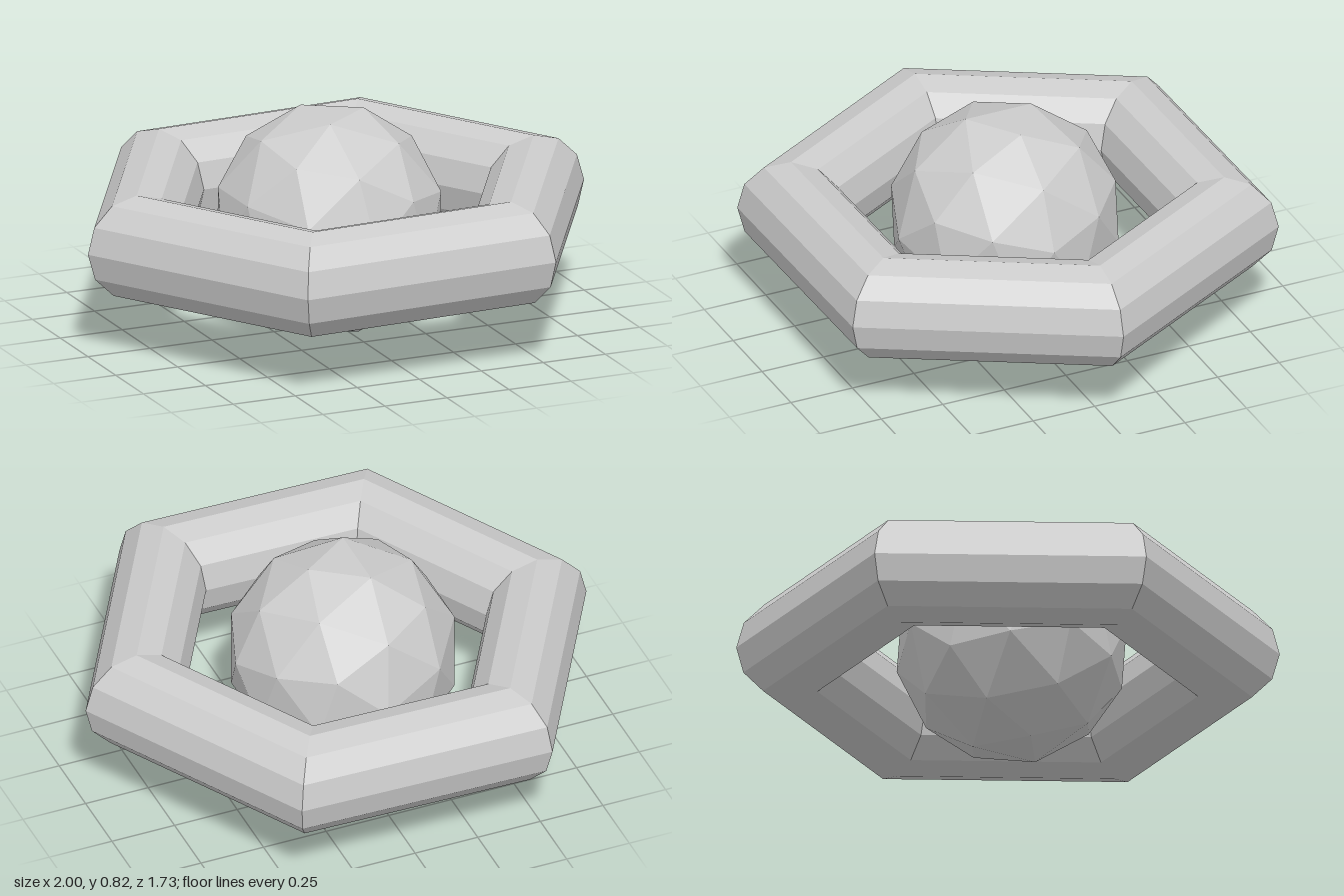
import * as THREE from 'three';

export function createModel() {
  const group = new THREE.Group();
  const material = new THREE.MeshStandardMaterial({ color: 0xcccccc, flatShading: true });
  const deg = THREE.MathUtils.degToRad;

  // Hexagonal ring with a twelve-sided section, lying flat with a slight sideways tilt
  const ringGeometry = new THREE.TorusGeometry(0.8, 0.2, 12, 6);
  ringGeometry.rotateX(-Math.PI / 2);
  const ring = new THREE.Mesh(ringGeometry, material);
  ring.name = 'ring';
  ring.position.y = 0.413;
  ring.rotation.z = deg(1);
  group.add(ring);

  // Faceted ball floating in the middle, a little off centre
  const ball = new THREE.Mesh(new THREE.IcosahedronGeometry(0.432, 1), material);
  ball.name = 'ball';
  ball.position.set(-0.027, 0.412, 0);
  ball.rotation.z = deg(-50.4);
  group.add(ball);

  return group;
}
